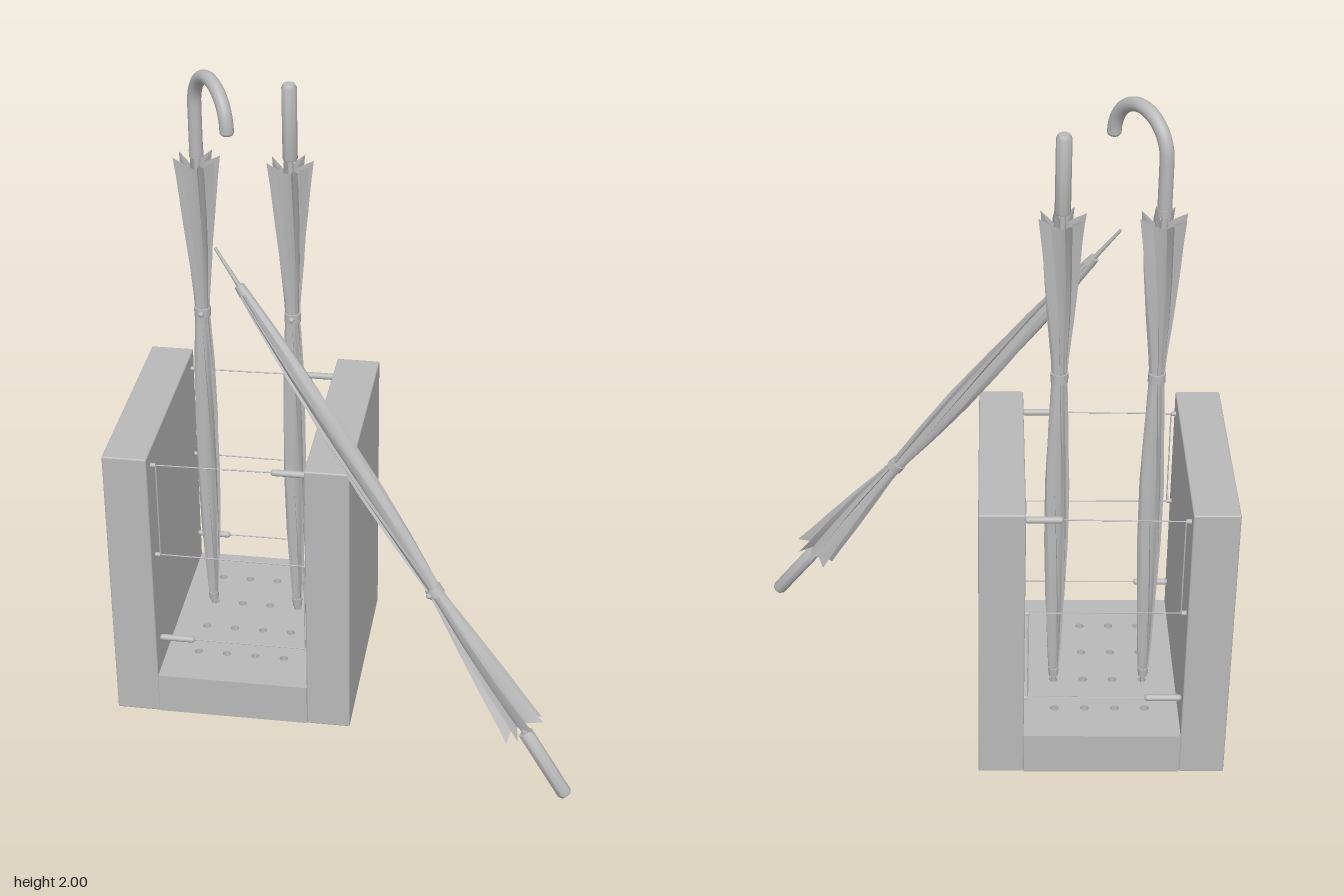
import * as THREE from 'three';
import { toCreasedNormals } from 'three/addons/utils/BufferGeometryUtils.js';
import { RoundedBoxGeometry } from 'three/addons/geometries/RoundedBoxGeometry.js';

const grey = new THREE.MeshStandardMaterial({ color: 0xb8b8b8, side: THREE.DoubleSide });
grey.name = 'grey';

function add(parent, name, geometry, x = 0, y = 0, z = 0) {
  const mesh = new THREE.Mesh(geometry, grey);
  mesh.name = name;
  mesh.position.set(x, y, z);
  parent.add(mesh);
  return mesh;
}

// Furled fabric: eight sawtooth folds that twist up the shaft.
// Each section is [height, valley radius, fold radius, height of fold above valley]
function canopyGeometry() {
  const sections = [
    [0.135, 0.011, 0.015, 0], [0.25, 0.017, 0.022, 0], [0.42, 0.022, 0.030, 0],
    [0.62, 0.025, 0.035, 0], [0.82, 0.025, 0.036, 0], [1.0, 0.022, 0.031, 0],
    [1.12, 0.019, 0.025, 0], [1.175, 0.018, 0.022, 0], [1.23, 0.019, 0.025, 0],
    [1.36, 0.025, 0.038, 0], [1.5, 0.028, 0.051, 0], [1.6, 0.028, 0.060, 0.005],
    [1.645, 0.027, 0.068, 0.028],
  ];
  const folds = 8, n = folds * 3, pos = [], idx = [];
  sections.forEach(([y, inner, outer, lift], row) => {
    const twist = y * 1.3;
    for (let i = 0; i < n; i++) {
      const k = i % 3;                       // valley, slope, fold tip
      const u = [0, 0.42, 0.95][k];
      const r = [inner, inner + (outer - inner) * 0.35, outer][k];
      const a = ((Math.floor(i / 3) + u) / folds) * Math.PI * 2 + twist;
      pos.push(r * Math.cos(a), y + lift * [0, 0.3, 1][k], r * Math.sin(a));
      if (row > 0) {
        const j = (i + 1) % n, lo = (row - 1) * n, hi = row * n;
        idx.push(lo + i, hi + i, lo + j, hi + i, hi + j, lo + j);
      }
    }
  });
  const g = new THREE.BufferGeometry();
  g.setAttribute('position', new THREE.Float32BufferAttribute(pos, 3));
  g.setIndex(idx);
  return toCreasedNormals(g, 0.6);
}

// Umbrella along +y with its tip at the origin
function umbrella(name, hooked) {
  const g = new THREE.Group();
  g.name = name;
  add(g, 'tip', new THREE.CylinderGeometry(0.007, 0.004, 0.13, 12), 0, 0.065, 0);
  add(g, 'ferrule', new THREE.CylinderGeometry(0.017, 0.014, 0.03, 16), 0, 0.14, 0);
  add(g, 'shaft', new THREE.CylinderGeometry(0.009, 0.009, 1.56, 12), 0, 0.91, 0);
  add(g, 'canopy', canopyGeometry());
  add(g, 'tieBand', new THREE.CylinderGeometry(0.025, 0.025, 0.028, 20), 0, 1.175, 0);
  add(g, 'tieButton', new THREE.SphereGeometry(0.009, 10, 8), 0, 1.175, 0.025);
  if (hooked) {
    const r = 0.115, path = new THREE.CurvePath();
    const pts = [];
    for (let i = 0; i <= 16; i++) {
      const a = Math.PI * (1 - i / 16);
      pts.push(new THREE.Vector3(r + r * Math.cos(a), 1.835 + r * Math.sin(a), 0));
    }
    path.add(new THREE.LineCurve3(new THREE.Vector3(0, 1.68, 0), pts[0]));
    path.add(new THREE.CatmullRomCurve3(pts));
    const hook = new THREE.Group();
    hook.name = 'hookHandle';
    hook.rotation.y = -0.97;
    add(hook, 'hook', new THREE.TubeGeometry(path, 48, 0.02, 16));
    add(hook, 'hookEnd', new THREE.SphereGeometry(0.02, 16, 10), r * 2, 1.835, 0).scale.y = 0.6;
    add(hook, 'hookBase', new THREE.CylinderGeometry(0.021, 0.021, 0.02, 16), 0, 1.685, 0);
    g.add(hook);
  } else {
    const profile = [[0, 1.68], [0.02, 1.68], [0.022, 1.685], [0.022, 1.9], [0.017, 1.91], [0, 1.911]];
    add(g, 'handle', toCreasedNormals(new THREE.LatheGeometry(
      profile.map(([x, y]) => new THREE.Vector2(x, y)), 20), 0.7));
  }
  return g;
}

// Thin rod between two points
function rod(parent, name, a, b, radius) {
  const from = new THREE.Vector3(...a), to = new THREE.Vector3(...b);
  const mesh = add(parent, name, new THREE.CylinderGeometry(radius, radius, from.distanceTo(to), 10));
  mesh.position.copy(from).add(to).multiplyScalar(0.5);
  mesh.quaternion.setFromUnitVectors(new THREE.Vector3(0, 1, 0), to.sub(from).normalize());
}

function createStand() {
  const stand = new THREE.Group();
  stand.name = 'stand';
  for (const [name, x] of [['rightPanel', -0.6455], ['leftPanel', -0.0495]])
    add(stand, name, new RoundedBoxGeometry(0.133, 0.915, 0.682, 2, 0.005), x, 0.4625, -0.129);

  // Base block with a grid of tip holes
  const w = [-0.579, -0.116], d = [-0.47, 0.212];
  add(stand, 'baseBottom', new THREE.BoxGeometry(0.463, 0.025, 0.682), -0.3475, 0.0175, -0.129);
  const shape = new THREE.Shape([[w[0], -d[1]], [w[1], -d[1]], [w[1], -d[0]], [w[0], -d[0]]]
    .map(([x, y]) => new THREE.Vector2(x, y)));
  for (const x of [-0.48, -0.39, -0.3, -0.21])
    for (const z of [-0.338, -0.2, -0.064, 0.072])
      shape.holes.push(new THREE.Path().absarc(x, -z, 0.013, 0, Math.PI * 2, true));
  const base = new THREE.ExtrudeGeometry(shape, { depth: 0.11, bevelEnabled: false, curveSegments: 8 });
  add(stand, 'baseTop', base.rotateX(-Math.PI / 2), 0, 0.03, 0);

  // Pegs and the cord zigzagging between the panels, front and back
  for (const z of [-0.426, 0.16]) {
    const side = new THREE.Group();
    side.name = z > 0 ? 'frontCord' : 'backCord';
    stand.add(side);
    for (const [x, y] of [[-0.525, 0.25], [-0.167, 0.877]])
      add(side, 'peg', new THREE.CapsuleGeometry(0.01, 0.09, 6, 14).rotateZ(Math.PI / 2), x, y, z);
    const path = [[-0.2, 0.877], [-0.564, 0.872], [-0.564, 0.557], [-0.127, 0.555], [-0.127, 0.25], [-0.49, 0.25]];
    for (let i = 1; i < path.length; i++)
      rod(side, 'cord', [...path[i - 1], z], [...path[i], z], 0.002);
    for (const [x, y] of path.slice(1, 5)) {
      const wall = x < -0.3 ? -0.582 : -0.113;
      rod(side, 'eyelet', [wall, y, z], [x, y, z], 0.007);
    }
  }
  return stand;
}

export function createModel() {
  const model = new THREE.Group();
  model.name = 'umbrellaStand';
  model.add(createStand());

  const hooked = umbrella('hookedUmbrella', true);
  hooked.position.set(-0.483, 0.03, -0.195);
  const straight = umbrella('straightUmbrella', false);
  straight.position.set(-0.21, 0.03, -0.195);

  // Leaning umbrella, upside down against the stand
  const leaning = umbrella('leaningUmbrella', false);
  leaning.position.set(-0.385, 1.54, 0.055);
  leaning.quaternion.setFromUnitVectors(new THREE.Vector3(0, 1, 0),
    new THREE.Vector3(1.075, -1.522, 0.392).normalize());

  model.add(hooked, straight, leaning);
  return model;
}
